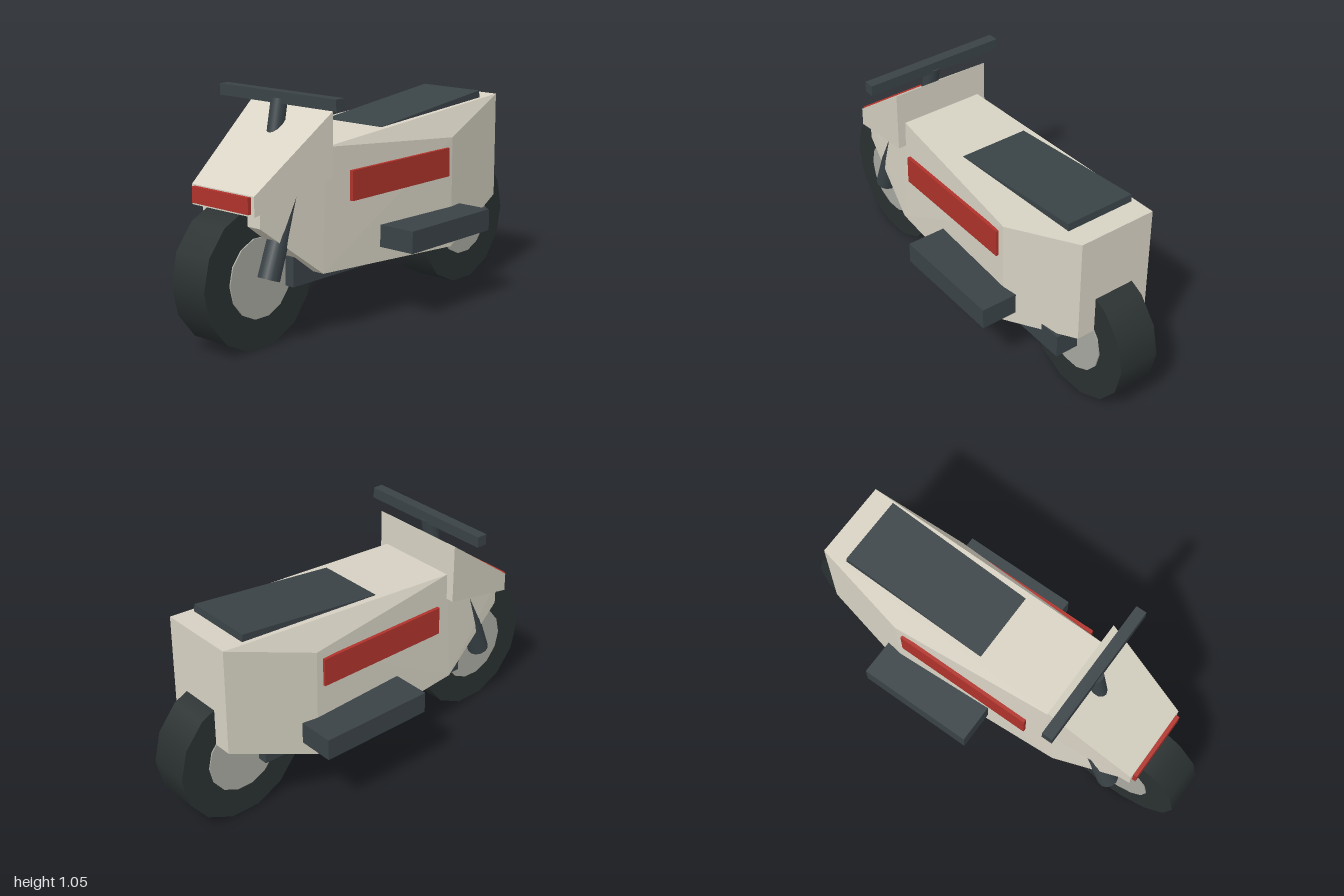
import * as THREE from 'three';
import { ConvexGeometry } from 'three/addons/geometries/ConvexGeometry.js';

const mat = (color) => new THREE.MeshStandardMaterial({ color });

export function createModel() {
  const model = new THREE.Group();
  const cream = mat(0xd8d3c4);
  const dark = mat(0x3a4347);
  const rubber = mat(0x2a3030);
  const metal = mat(0xaaaaa2);
  const red = mat(0xb0332b);

  const add = (name, geometry, material, x = 0, y = 0, z = 0, tilt = 0) => {
    const mesh = new THREE.Mesh(geometry, material);
    mesh.name = name;
    mesh.position.set(x, y, z);
    mesh.rotation.x = tilt;
    model.add(mesh);
    return mesh;
  };
  const box = (name, material, size, pos, tilt) =>
    add(name, new THREE.BoxGeometry(...size), material, ...pos, tilt);

  // Faceted shell from corner points [half width, y, z], mirrored in x
  const shell = (name, corners, material) => {
    const points = corners.flatMap(([x, y, z]) => [
      new THREE.Vector3(x, y, z), new THREE.Vector3(-x, y, z)]);
    add(name, new ConvexGeometry(points), material);
  };

  // Main body: narrow nose, widest towards the rear, upright tail
  shell('body', [
    [0.168, 0.545, 0.76], [0.168, 0.65, 0.76],
    [0.21, 0.295, 0.43], [0.2, 0.835, 0.4],
    [0.25, 0.255, -0.4], [0.25, 0.77, -0.4],
    [0.183, 0.42, -0.825], [0.183, 0.915, -0.825],
  ], cream);

  // Front fairing
  shell('frontFairing', [
    [0.24, 0.99, 0.4], [0.24, 0.712, 0.4],
    [0.183, 0.69, 0.805], [0.183, 0.603, 0.805],
  ], cream);

  // Wheels with slightly proud hub discs
  for (const [side, z] of [['front', 0.692], ['rear', -0.692]]) {
    const tyre = new THREE.CylinderGeometry(0.315, 0.315, 0.194, 14).rotateZ(Math.PI / 2);
    const hub = new THREE.CylinderGeometry(0.177, 0.177, 0.206, 14).rotateZ(Math.PI / 2);
    add(side + 'Tyre', tyre, rubber, 0, 0.315, z);
    add(side + 'Hub', hub, metal, 0, 0.315, z);
  }

  // Seat and lower frame
  box('seat', dark, [0.33, 0.05, 0.72], [0, 0.877, -0.358], 0.11);
  box('lowerFrame', dark, [0.3, 0.13, 1.16], [0, 0.315, -0.03]);

  // Paired parts
  for (const [side, s] of [['left', 1], ['right', -1]]) {
    box(side + 'Footboard', dark, [0.185, 0.1, 0.555], [s * 0.3175, 0.395, -0.1975]);
    box(side + 'SidePanel', red, [0.016, 0.132, 0.665], [s * 0.253, 0.661, -0.033]);
    add(side + 'ForkLeg', new THREE.CylinderGeometry(0.045, 0.049, 0.42, 12),
      dark, s * 0.142, 0.511, 0.617, -0.35);
  }

  // Exhaust, on the left only
  box('exhaust', dark, [0.115, 0.11, 0.42], [0.157, 0.32, -0.52]);

  // Front lamp, steering stem and handlebar
  box('frontLamp', red, [0.33, 0.07, 0.03], [0, 0.65, 0.808]);
  add('steeringStem', new THREE.CylinderGeometry(0.037, 0.037, 0.26, 12),
    dark, 0, 0.9, 0.495, -0.2);
  box('handlebar', dark, [0.68, 0.05, 0.05], [0, 1.035, 0.465]);

  return model;
}
